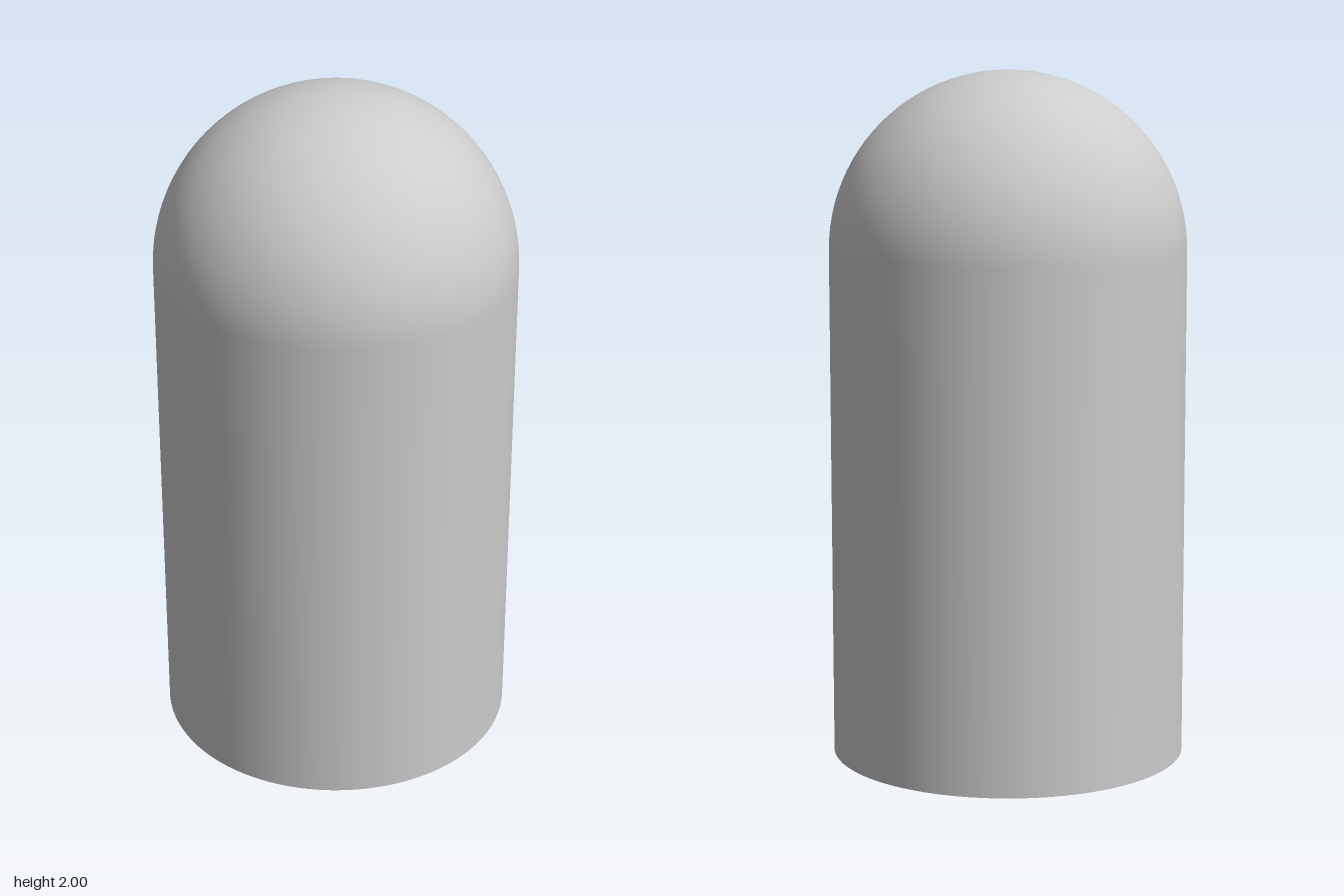
import * as THREE from 'three';
import { mergeGeometries } from 'three/addons/utils/BufferGeometryUtils.js';

const OUTER = 0.517, INNER = 0.445, DOME_Y = 1.483, SEGMENTS = 96;
const PITCH = 0.104, HOLE = 0.032, GRILLE_Y = 0.05, GRILLE_DEPTH = 0.1;

// Straight wall that runs into a half-sphere dome, from the base to the tip
function bulletProfile(radius) {
  const points = [new THREE.Vector2(radius, 0)];
  for (let i = 0; i <= 24; i++) {
    const a = (i / 24) * Math.PI / 2;
    points.push(new THREE.Vector2(i === 24 ? 0 : radius * Math.cos(a), DOME_Y + radius * Math.sin(a)));
  }
  return points;
}

// One hexagonal cell with a round hole through it
function cellGeometry() {
  const shape = new THREE.Shape();
  const r = PITCH / Math.sqrt(3);
  for (let i = 0; i < 6; i++) {
    const a = Math.PI / 6 + i * Math.PI / 3;
    if (i === 0) shape.moveTo(r * Math.cos(a), r * Math.sin(a));
    else shape.lineTo(r * Math.cos(a), r * Math.sin(a));
  }
  const hole = new THREE.Path();
  hole.absarc(0, 0, HOLE, 0, Math.PI * 2, true);
  shape.holes.push(hole);
  return new THREE.ExtrudeGeometry(shape, { depth: GRILLE_DEPTH, bevelEnabled: false, curveSegments: 16 })
    .rotateX(-Math.PI / 2);
}

export function createModel() {
  const group = new THREE.Group();
  const grey = new THREE.MeshStandardMaterial({ color: 0xcccccc });
  grey.name = 'light grey';

  const add = (name, geometry) => {
    const mesh = new THREE.Mesh(geometry, grey);
    mesh.name = name;
    group.add(mesh);
  };

  // Hollow domed housing
  add('outerShell', new THREE.LatheGeometry(bulletProfile(OUTER), SEGMENTS));
  add('innerShell', new THREE.LatheGeometry(bulletProfile(INNER).reverse(), SEGMENTS));
  add('bottomRim', new THREE.RingGeometry(INNER, OUTER, SEGMENTS).rotateX(Math.PI / 2));

  // Honeycomb grille recessed in the open base
  const cell = cellGeometry();
  const cells = [];
  for (let row = -5; row <= 5; row++) {
    for (let col = -8; col <= 8; col++) {
      const x = (col + row / 2) * PITCH;
      const z = row * PITCH * Math.sqrt(3) / 2;
      if (Math.hypot(x, z) < 0.425) cells.push(cell.clone().translate(x, GRILLE_Y, z));
    }
  }
  add('honeycombGrille', mergeGeometries(cells));

  return group;
}
